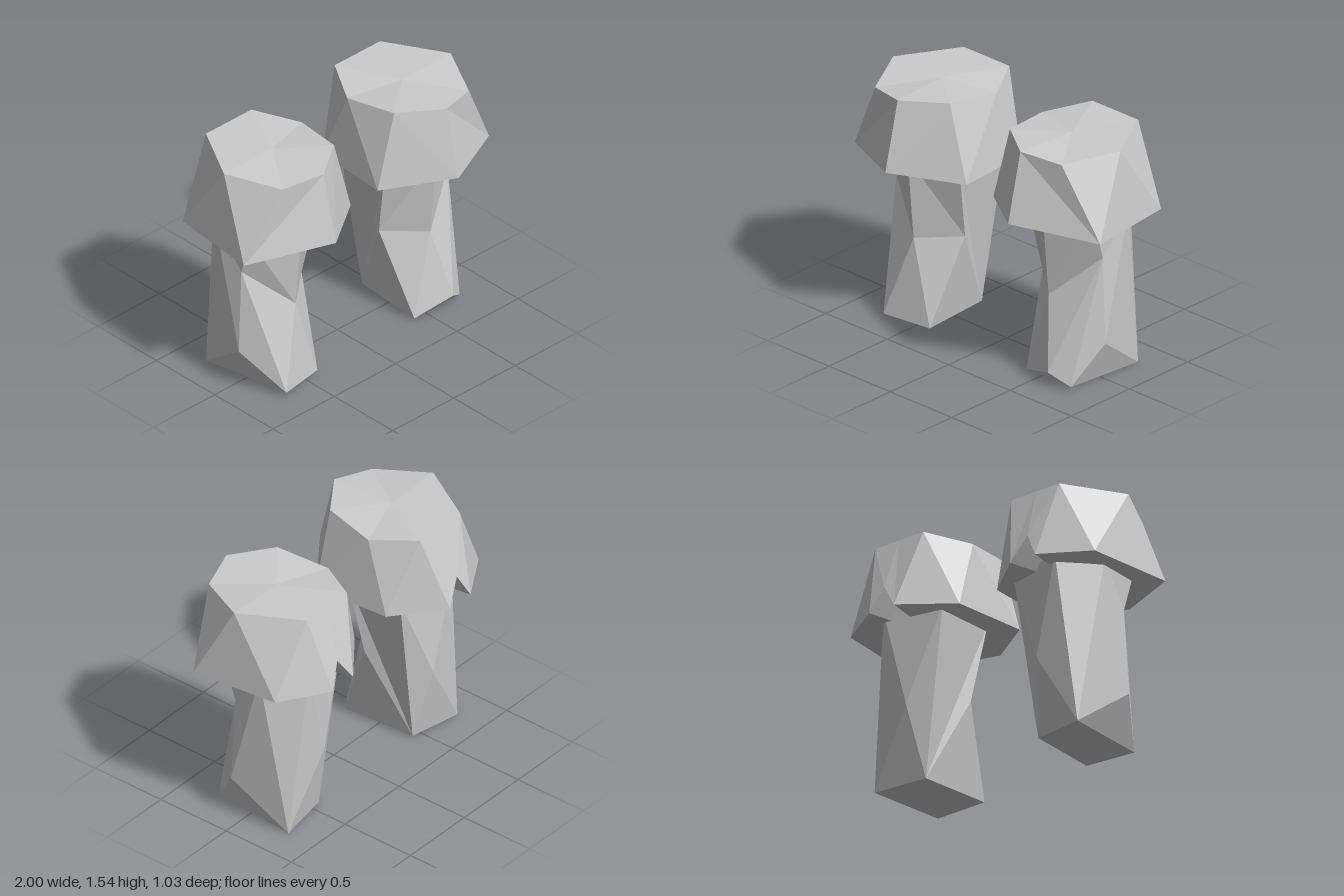
import * as THREE from 'three';

const material = new THREE.MeshStandardMaterial({ color: 0xcccccc, flatShading: true });

// Skins a closed ring of columns, each running from top to bottom.
// rising picks the diagonal of each quad; side = -1 mirrors in x.
function skin(name, columns, rising, side) {
  const pos = [];
  const same = (a, b) => a.every((v, k) => v === b[k]);
  const tri = (a, b, c) => {
    if (same(a, b) || same(b, c) || same(a, c)) return;
    for (const p of side > 0 ? [a, b, c] : [a, c, b]) pos.push(p[0] * side, p[1], p[2]);
  };
  columns.forEach((left, i) => {
    const right = columns[(i + 1) % columns.length];
    for (let k = 0; k + 1 < left.length; k++) {
      const ti = left[k], tj = right[k], bi = left[k + 1], bj = right[k + 1];
      if (rising) { tri(bi, bj, tj); tri(bi, tj, ti); }
      else { tri(bi, bj, ti); tri(ti, bj, tj); }
    }
  });
  const geometry = new THREE.BufferGeometry();
  geometry.setAttribute('position', new THREE.Float32BufferAttribute(pos, 3));
  geometry.computeVertexNormals();
  const mesh = new THREE.Mesh(geometry, material);
  mesh.name = name;
  return mesh;
}

// Faceted cap with a small V notch in the back rim
function cap(side) {
  const crown = [0.53, 1.535, 0], under = [0.55, 1.05, -0.02];
  const backRight = [0.71, 1.54, -0.38], outerRim = [1, 1.04, 0.25];
  const columns = [
    [[0.5, 1.54, 0.41], [0.5, 1.1, 0.515]],
    [[0.76, 1.51, 0.33], outerRim],
    [[0.925, 1.54, 0], outerRim],
    [backRight, [0.945, 1.05, -0.33]],
    [backRight, [0.64, 1.05, -0.52]],
    [[0.53, 1.54, -0.38], [0.555, 1.21, -0.485]],
    [[0.34, 1.54, -0.38], [0.45, 1.05, -0.52]],
    [[0.185, 1.51, -0.11], [0.145, 1.05, -0.28]],
    [[0.245, 1.54, 0.23], [0.11, 1.05, 0.23]],
  ].map(([top, rim]) => [crown, top, rim, under]);
  return skin('cap', columns, false, side);
}

// Faceted stem with a pinched front; the front foot corner is passed in as two points
function stem(side, toe, heel) {
  const top = [0.56, 1.1, -0.05];
  const sideTop = [0.86, 1.09, -0.14], innerTop = [0.275, 1.09, -0.28];
  const backFoot = [0.785, 0, -0.3], innerFoot = [0.435, 0.01, -0.245];
  const backBulge = [0.505, 0.48, -0.345];
  const columns = [
    [[0.55, 1.09, 0.27], [0.55, 0.55, 0.22], toe],
    [[0.845, 1.09, 0.14], [0.84, 0.83, 0.06], heel],
    [sideTop, [0.87, 0.28, 0.07], heel],
    [sideTop, backFoot, backFoot],
    [[0.66, 1.1, -0.36], backBulge, backFoot],
    [innerTop, backBulge, innerFoot],
    [innerTop, innerFoot, innerFoot],
    [[0.27, 1.09, 0.125], [0.315, 0.57, 0.025], [0.395, 0.015, 0.245]],
  ].map((points) => [top, ...points, heel]);
  return skin('stem', columns, true, side);
}

export function createModel() {
  const model = new THREE.Group();
  model.name = 'mushroomPair';

  const left = new THREE.Group();
  left.name = 'leftMushroom';
  left.add(cap(1), stem(1, [0.64, 0.1, 0.32], [0.76, 0.02, 0.25]));

  // The right foot has one sharp corner instead of a cut one
  const right = new THREE.Group();
  right.name = 'rightMushroom';
  const corner = [0.71, 0.03, 0.31];
  right.add(cap(-1), stem(-1, corner, corner));

  model.add(left, right);
  return model;
}
